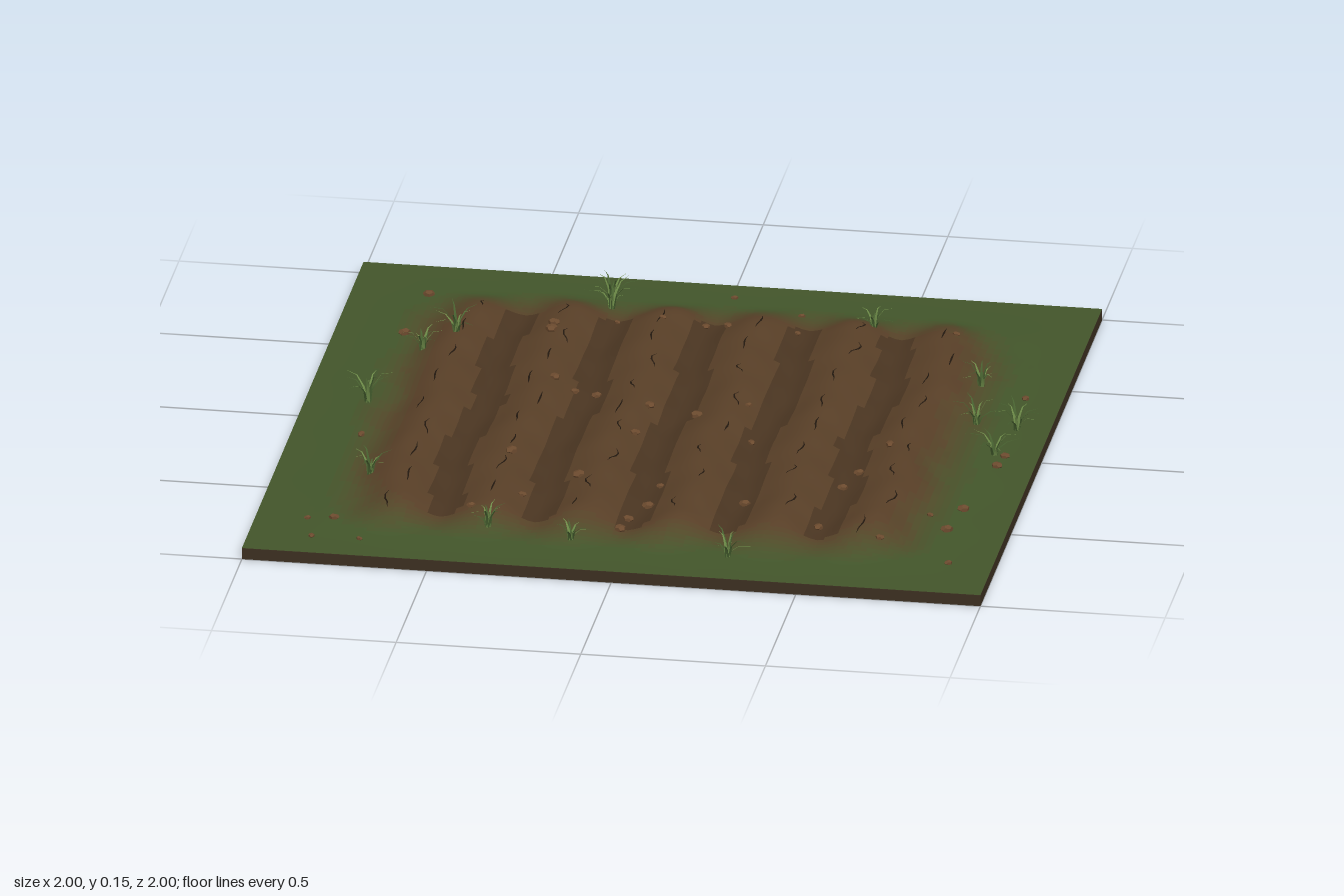
import * as THREE from 'three';
import { mergeGeometries } from 'three/addons/utils/BufferGeometryUtils.js';

const PITCH = 0.26; // distance between ridges
const RIDGES = [-2.5, -1.5, -0.5, 0.5, 1.5, 2.5].map(i => i * PITCH);
const GROUND = 0.032;

let seed = 7;
const rand = () => (seed = (seed * 16807) % 2147483647) / 2147483647;
const range = (a, b) => a + (b - a) * rand();

const wobble = (x, z) =>
  Math.sin(x * 23 + z * 9) * Math.sin(z * 19 - x * 7) * 0.6 + Math.sin(x * 41 - z * 33) * 0.4;

// 1 inside the tilled bed, 0 on the surrounding grass
function bed(x, z, inner, outer) {
  const d = Math.pow(Math.pow(Math.abs(x), 8) + Math.pow(Math.abs(z), 8), 1 / 8);
  return 1 - THREE.MathUtils.smoothstep(d + 0.02 * wobble(x * 0.6, z * 0.6), inner, outer);
}

const ridge = (x, z) =>
  Math.pow(0.5 + 0.5 * Math.cos((2 * Math.PI * (x - PITCH / 2 + 0.012 * Math.sin(z * 9 + x * 2))) / PITCH), 0.8);

function heightAt(x, z) {
  const slope = bed(x, z, 0.7, 0.95) * 0.005;
  const mound = bed(x, z, 0.66, 0.87) * (0.042 * ridge(x, z) + 0.003 * wobble(x, z));
  return GROUND + slope + mound;
}

// Ground surface, split into colour bands from grass to soil
function makeGround() {
  const group = new THREE.Group();
  group.name = 'ground';
  const n = 110;
  const plane = new THREE.PlaneGeometry(2, 2, n, n).rotateX(-Math.PI / 2);
  const pos = plane.attributes.position;
  for (let i = 0; i < pos.count; i++) pos.setY(i, heightAt(pos.getX(i), pos.getZ(i)));
  plane.computeVertexNormals();

  const grass = new THREE.Color(0x42552a), soil = new THREE.Color(0x583f27);
  const steps = 8;
  const bands = Array.from({ length: steps + 2 }, () => []);
  const index = plane.index.array;
  for (let i = 0; i < index.length; i += 6) {
    const a = index[i], c = index[i + 4];
    const x = (pos.getX(a) + pos.getX(c)) / 2, z = (pos.getZ(a) + pos.getZ(c)) / 2;
    let band = Math.round(bed(x, z, 0.68, 0.87) * steps);
    if (band === steps && ridge(x, z) < 0.35) band = steps + 1;
    bands[band].push(...index.slice(i, i + 6));
  }
  bands.forEach((faces, b) => {
    const geo = new THREE.BufferGeometry();
    geo.setAttribute('position', pos);
    geo.setAttribute('normal', plane.attributes.normal);
    geo.setIndex(faces);
    const color = b > steps ? new THREE.Color(0x4a3521) : grass.clone().lerp(soil, b / steps);
    const mesh = new THREE.Mesh(geo, new THREE.MeshStandardMaterial({ color }));
    mesh.name = b === 0 ? 'grass' : b < steps ? 'grassEdge' + b : b === steps ? 'ridgeSoil' : 'furrowSoil';
    group.add(mesh);
  });
  return group;
}

// Thin broken cracks running along each crest
function makeCracks() {
  const parts = [];
  for (const cx of RIDGES) {
    for (let z = -0.7; z < 0.64; z += range(0.13, 0.2)) {
      const length = range(0.05, 0.1), x0 = cx + range(-0.03, 0.03), bend = range(-0.012, 0.012);
      const geo = new THREE.PlaneGeometry(1, 1, 1, 4).rotateX(-Math.PI / 2);
      const p = geo.attributes.position;
      for (let i = 0; i < p.count; i++) {
        const t = p.getZ(i) + 0.5;
        const width = 0.005 * Math.sin(Math.PI * (0.05 + 0.9 * t));
        const x = x0 + bend * Math.sin(t * 5) + p.getX(i) * width, pz = z + t * length;
        p.setXYZ(i, x, heightAt(x, pz) + 0.002, pz);
      }
      geo.computeVertexNormals();
      parts.push(geo);
    }
  }
  const mesh = new THREE.Mesh(mergeGeometries(parts),
    new THREE.MeshStandardMaterial({ color: 0x21170e, side: THREE.DoubleSide }));
  mesh.name = 'soilCracks';
  return mesh;
}

// Pebbles and clods: x, z pairs
const STONES = [
  -0.79, -0.8, 0.02, -0.91, 0.22, -0.8, -0.81, -0.52, 0.9, -0.35, 0.91, 0.05, 0.9, 0.12, -0.81, 0.19,
  0.86, 0.43, 0.84, 0.58, 0.88, 0.8, -0.86, 0.77, -0.79, 0.76, -0.83, 0.89, -0.7, 0.89, 0.78, 0.49,
  -0.41, -0.55, -0.41, -0.51, -0.35, -0.2, -0.29, -0.16, -0.23, -0.16, -0.07, -0.06, 0.06, -0.04,
  -0.08, 0.12, 0.23, 0.09, -0.38, 0.33, -0.18, 0.44, 0.04, 0.43, 0.03, 0.57, -0.01, 0.66, -0.02, 0.73,
  -0.31, 0.58, -0.43, 0.69, -0.02, -0.68, 0.04, -0.68, -0.13, -0.64, -0.26, -0.68, 0.23, -0.67,
  0.66, -0.67, 0.55, 0.26, 0.61, 0.12, 0.52, 0.35, 0.68, 0.71, 0.5, 0.63, 0.28, 0.5, 0.19, -0.11,
];

function makeStones() {
  const parts = [];
  for (let i = 0; i < STONES.length; i += 2) {
    const x = STONES[i], z = STONES[i + 1], r = range(0.01, 0.019);
    parts.push(new THREE.DodecahedronGeometry(r, 0)
      .scale(1, 0.6, range(0.7, 1)).rotateY(range(0, 6))
      .translate(x, heightAt(x, z) + r * 0.25, z));
  }
  const mesh = new THREE.Mesh(mergeGeometries(parts),
    new THREE.MeshStandardMaterial({ color: 0x6b4a2e, flatShading: true }));
  mesh.name = 'stones';
  return mesh;
}

// One tapered blade bending outwards along +x
function bladeGeometry(reach, height, width) {
  const geo = new THREE.PlaneGeometry(1, 1, 1, 3);
  const p = geo.attributes.position;
  for (let i = 0; i < p.count; i++) {
    const t = p.getY(i) + 0.5, side = p.getX(i);
    p.setXYZ(i, reach * t * t + 0.006, height * Math.sin(t * 1.75) - 0.004, side * width * (1 - t));
  }
  geo.computeVertexNormals();
  return geo;
}

// Grass tufts around the bed: x, z, size
const TUFTS = [
  [-0.3, -0.83, 1], [-0.29, -0.77, 1], [0.43, -0.71, 0.8], [-0.66, -0.46, 0.95], [-0.74, -0.39, 0.8],
  [-0.83, -0.04, 1.2], [-0.74, 0.47, 0.9], [-0.37, 0.78, 0.8], [-0.14, 0.82, 0.7], [0.29, 0.85, 0.95],
  [0.77, -0.41, 0.9], [0.8, -0.15, 0.95], [0.91, -0.14, 1], [0.88, 0.04, 0.9],
];

function makeTufts() {
  const group = new THREE.Group();
  group.name = 'grassTufts';
  const materials = [0x6d8b48, 0x46602f].map(color =>
    new THREE.MeshStandardMaterial({ color, side: THREE.DoubleSide }));
  for (const [x, z, size] of TUFTS) {
    const tuft = new THREE.Group();
    tuft.name = 'grassTuft';
    materials.forEach((material, m) => {
      const blades = [];
      for (let i = 0; i < 5; i++) {
        const angle = ((i + m / 2) / 5) * Math.PI * 2 + range(-0.3, 0.3);
        blades.push(bladeGeometry(range(0.025, 0.085) * size, range(0.04, 0.08) * size, 0.011).rotateY(angle));
      }
      const mesh = new THREE.Mesh(mergeGeometries(blades), material);
      mesh.name = m ? 'darkBlades' : 'lightBlades';
      tuft.add(mesh);
    });
    tuft.position.set(x, heightAt(x, z), z);
    group.add(tuft);
  }
  return group;
}

export function createModel() {
  const model = new THREE.Group();
  model.name = 'ploughedField';

  // Earth slab under the surface
  const slab = new THREE.Mesh(new THREE.BoxGeometry(2, 0.031, 2),
    new THREE.MeshStandardMaterial({ color: 0x3b2f20 }));
  slab.name = 'earthSlab';
  slab.position.y = 0.0155;

  model.add(slab, makeGround(), makeCracks(), makeStones(), makeTufts());
  return model;
}
